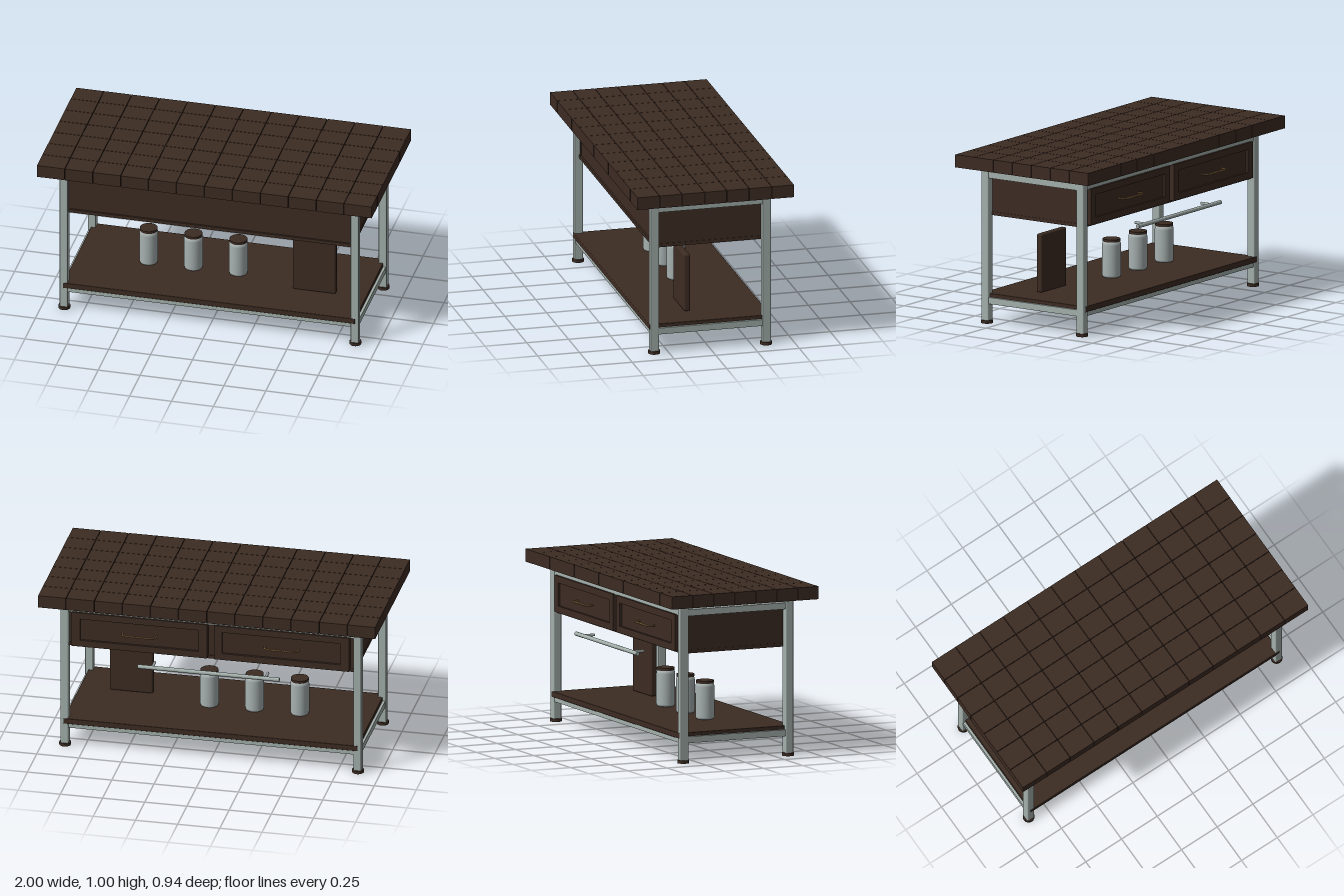
import * as THREE from 'three';
import { RoundedBoxGeometry } from 'three/addons/geometries/RoundedBoxGeometry.js';

const material = (name, color) => {
  const m = new THREE.MeshStandardMaterial({ color });
  m.name = name;
  return m;
};

export function createModel() {
  const wood = material('darkWood', 0x3d2c23);
  const metal = material('paintedMetal', 0xa4b0ac);
  const glass = material('jarGlass', 0xa8b1b1);
  const brass = material('brass', 0x8f6c45);

  const model = new THREE.Group();
  model.name = 'kitchenIsland';

  const add = (name, geometry, mat, x, y, z, parent = model) => {
    const mesh = new THREE.Mesh(geometry, mat);
    mesh.name = name;
    mesh.position.set(x, y, z);
    parent.add(mesh);
    return mesh;
  };
  // box from its minimum and maximum corners
  const box = (name, mat, [x0, x1], [y0, y1], [z0, z1], parent = model, radius = 0) => {
    const size = [x1 - x0, y1 - y0, z1 - z0];
    const geometry = radius
      ? new RoundedBoxGeometry(...size, 2, radius)
      : new THREE.BoxGeometry(...size);
    return add(name, geometry, mat, (x0 + x1) / 2, (y0 + y1) / 2, (z0 + z1) / 2, parent);
  };
  const group = (name) => {
    const g = new THREE.Group();
    g.name = name;
    model.add(g);
    return g;
  };

  // butcher block top: a grid of blocks with hairline joints
  const top = group('tableTop');
  const columns = 12, rows = 7, bw = 2 / columns, bd = 0.94 / rows, gap = 0.003;
  const block = new THREE.BoxGeometry(bw - gap, 0.075, bd - gap);
  for (let i = 0; i < columns; i++)
    for (let j = 0; j < rows; j++)
      add('topBlock', block, wood, -1 + (i + 0.5) * bw, 0.9625, -0.47 + (j + 0.5) * bd, top);

  // legs and round feet
  const LX = 0.868, LZ = 0.335;
  const leg = new RoundedBoxGeometry(0.048, 0.91, 0.05, 2, 0.006);
  const foot = new THREE.CylinderGeometry(0.034, 0.034, 0.018, 24);
  for (const sx of [-1, 1])
    for (const sz of [-1, 1]) {
      add('leg', leg, metal, sx * LX, 0.47, sz * LZ);
      add('foot', foot, wood, sx * LX, 0.009, sz * LZ);
    }

  // upper and lower frame rails
  for (const [name, y] of [['upperRail', 0.88], ['lowerRail', 0.136]])
    for (const s of [-1, 1]) {
      add(name + 'Long', new THREE.BoxGeometry(1.70, 0.038, 0.038), metal, 0, y, s * LZ);
      add(name + 'Short', new THREE.BoxGeometry(0.038, 0.038, 0.63), metal, s * LX, y, 0);
    }

  // lower shelf
  box('shelf', wood, [-0.872, 0.872], [0.143, 0.177], [-0.362, 0.362], model, 0.004);

  // drawer case: floor, sides, front panel and back frame
  const drawerCase = group('drawerCase');
  box('caseFloor', wood, [-0.853, 0.853], [0.637, 0.657], [-0.335, 0.335], drawerCase);
  for (const s of [-1, 1])
    box('caseSide', wood, s < 0 ? [-0.85, -0.828] : [0.828, 0.85], [0.657, 0.862], [-0.33, 0.33], drawerCase);
  box('caseFront', wood, [-0.828, 0.828], [0.657, 0.862], [0.305, 0.325], drawerCase);
  box('caseBack', wood, [-0.828, 0.828], [0.657, 0.862], [-0.33, -0.31], drawerCase);

  // two framed drawers with rope-pattern handles on the back
  const bead = new THREE.TorusGeometry(0.0045, 0.003, 6, 12);
  bead.rotateY(Math.PI / 2 - 0.5);
  for (const s of [-1, 1]) {
    const drawer = group('drawer');
    drawer.position.x = s * 0.421;
    const w = 0.401, y0 = 0.65, y1 = 0.865, z = [-0.367, -0.33];
    box('drawerPanel', wood, [-0.36, 0.36], [y0 + 0.03, y1 - 0.03], [-0.353, -0.33], drawer);
    for (const t of [-1, 1])
      box('drawerStile', wood, t < 0 ? [-w, -w + 0.05] : [w - 0.05, w], [y0, y1], z, drawer);
    box('drawerBottomRail', wood, [-w + 0.05, w - 0.05], [y0, y0 + 0.04], z, drawer);
    box('drawerTopRail', wood, [-w + 0.05, w - 0.05], [y1 - 0.04, y1], z, drawer);

    const path = new THREE.CatmullRomCurve3([
      [-0.1, -0.35], [-0.097, -0.385], [-0.08, -0.395], [0, -0.397],
      [0.08, -0.395], [0.097, -0.385], [0.1, -0.35],
    ].map(([x, zz]) => new THREE.Vector3(x, 0.757, zz)));
    add('drawerHandle', new THREE.TubeGeometry(path, 40, 0.005, 8), brass, 0, 0, 0, drawer);
    for (let i = 0; i < 13; i++)
      add('handleTwist', bead, brass, -0.078 + i * 0.013, 0.757, -0.396, drawer);
  }

  // towel bar on the back
  const bar = add('towelBar', new THREE.CylinderGeometry(0.012, 0.012, 0.84, 20), metal, 0, 0.581, -0.415);
  bar.rotation.z = Math.PI / 2;
  for (const s of [-1, 1]) {
    const post = add('towelBarPost', new THREE.CylinderGeometry(0.008, 0.008, 0.075, 14), metal, s * 0.335, 0.581, -0.377);
    post.rotation.x = Math.PI / 2;
  }

  // storage jars with lids
  const jarProfile = [
    [0, 0.178], [0.046, 0.178], [0.052, 0.182], [0.055, 0.192], [0.055, 0.37],
    [0.053, 0.381], [0.048, 0.388], [0.046, 0.392], [0, 0.392],
  ].map(([r, y]) => new THREE.Vector2(r, y));
  const jarBody = new THREE.LatheGeometry(jarProfile, 32);
  const lid = new THREE.CylinderGeometry(0.052, 0.052, 0.015, 32);
  for (const x of [-0.449, -0.182, 0.086]) {
    add('jar', jarBody, glass, x, 0, 0);
    add('jarLid', lid, wood, x, 0.3975, 0);
  }

  // cutting board standing on the shelf
  box('cuttingBoard', wood, [0.437, 0.693], [0.177, 0.523], [0.071, 0.109], model, 0.01);

  return model;
}
